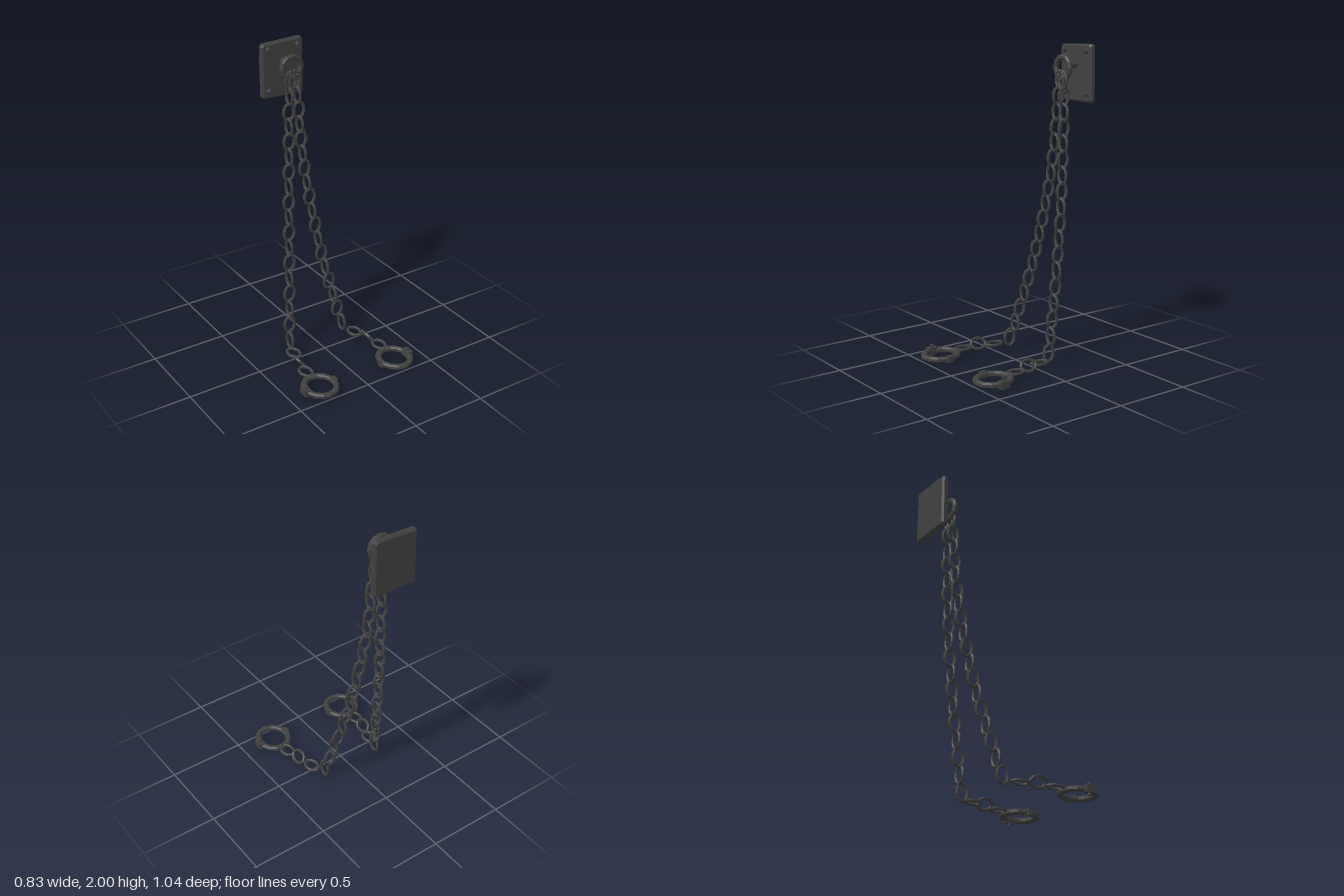
import * as THREE from 'three';

const iron = new THREE.MeshStandardMaterial({ color: 0x404040, flatShading: true });
iron.name = 'darkIron';

function part(name, geometry, parent, x = 0, y = 0, z = 0) {
  const mesh = new THREE.Mesh(geometry, iron);
  mesh.name = name;
  mesh.position.set(x, y, z);
  parent.add(mesh);
  return mesh;
}

// Oval wire link lying in the XY plane, long axis along y
function linkGeometry() {
  const points = [];
  for (let i = 0; i < 10; i++) {
    const a = (i / 10) * Math.PI * 2;
    points.push(new THREE.Vector3(Math.sin(a) * 0.0385, Math.cos(a) * 0.057, 0));
  }
  return new THREE.TubeGeometry(new THREE.CatmullRomCurve3(points, true), 10, 0.0102, 6, true);
}

// Flat band with chamfered edges, turned about y
function bandGeometry(inner, outer, height, chamfer, sides) {
  const h = height / 2, c = chamfer;
  const profile = [
    [inner, -h + c], [inner + c, -h], [outer - c, -h], [outer, -h + c],
    [outer, h - c], [outer - c, h], [inner + c, h], [inner, h - c], [inner, -h + c],
  ].map(([r, y]) => new THREE.Vector2(r, y));
  return new THREE.LatheGeometry(profile, sides);
}

function wallMount() {
  const mount = new THREE.Group();
  mount.name = 'wallMount';
  // Slightly crooked back plate with clipped corners
  const outline = [
    [-0.132, 1.644], [0.13, 1.641], [0.138, 1.649], [0.136, 1.98],
    [0.128, 1.988], [-0.132, 1.979], [-0.139, 1.971], [-0.139, 1.652],
  ].map(([x, y]) => new THREE.Vector2(x, y));
  const plate = new THREE.ExtrudeGeometry(new THREE.Shape(outline), {
    depth: 0.021, bevelEnabled: true, bevelThickness: 0.012, bevelSize: 0.012, bevelSegments: 1,
  });
  part('backPlate', plate, mount, 0, 0, -0.508);

  // Corner bolts
  for (const x of [-0.105, 0.105]) {
    for (const y of [1.685, 1.955]) {
      const bolt = part('plateBolt', new THREE.CylinderGeometry(0.012, 0.019, 0.022, 8), mount, x, y, -0.466);
      bolt.rotation.x = Math.PI / 2;
    }
  }
  // Post and hanging ring
  const post = part('post', new THREE.CylinderGeometry(0.022, 0.022, 0.085, 10), mount, 0, 1.865, -0.4375);
  post.rotation.x = Math.PI / 2;
  const ring = part('hangingRing', bandGeometry(0.051, 0.086, 0.032, 0.009, 12), mount, 0, 1.851, -0.372);
  ring.rotation.x = Math.PI / 2;
  return mount;
}

function chain(side, geometry) {
  const group = new THREE.Group();
  group.name = side > 0 ? 'leftChain' : 'rightChain';
  // Hanging run: [x, y, z], alternating front-facing and side-facing links
  const hanging = [
    [0.014, 1.775, -0.361], [0.028, 1.673, -0.358], [0.036, 1.57, -0.354], [0.04, 1.473, -0.35],
    [0.044, 1.375, -0.344], [0.051, 1.275, -0.336], [0.058, 1.175, -0.327], [0.068, 1.075, -0.315],
    [0.079, 0.976, -0.301], [0.089, 0.876, -0.286], [0.1, 0.777, -0.268], [0.112, 0.678, -0.251],
    [0.124, 0.579, -0.231], [0.139, 0.48, -0.21], [0.154, 0.38, -0.186], [0.17, 0.28, -0.16],
    [0.187, 0.18, -0.136], [0.205, 0.08, -0.105],
  ];
  hanging.forEach(([x, y, z], i) => {
    const link = part('hangingLink', geometry, group, side * x, y, z);
    if (i % 2) link.rotation.y = Math.PI / 2;
  });
  // Links on the floor, the middle one rolled over
  const lying = [[0.239, 0.046, -0.004, 0], [0.269, 0.06, 0.106, -0.9], [0.286, 0.046, 0.216, 0]];
  for (const [x, y, z, roll] of lying) {
    const link = part('floorLink', geometry, group, side * x, y, z);
    link.rotation.set(Math.PI / 2, 0, roll, 'ZXY');
  }
  return group;
}

function cuff(side) {
  const group = new THREE.Group();
  group.name = side > 0 ? 'leftCuff' : 'rightCuff';
  group.position.set(side * 0.287, 0, 0.386);
  const band = part('cuffBand', bandGeometry(0.083, 0.119, 0.034, 0.009, 14), group, 0, 0.036, 0);
  band.scale.z = 1.1;

  // Outer clasp with its bolt
  part('clasp', new THREE.BoxGeometry(0.044, 0.044, 0.066), group, side * 0.105, 0.036, 0);
  part('claspBolt', new THREE.CylinderGeometry(0.012, 0.012, 0.075, 8), group, side * 0.103, 0.0375, 0);

  // Inner hinge: tapered block
  const taper = new THREE.Shape([
    [0.093, -0.026], [0.113, -0.026], [0.121, -0.015], [0.121, 0.015], [0.113, 0.026], [0.093, 0.026],
  ].map(([x, z]) => new THREE.Vector2(-side * x, z)));
  const hinge = new THREE.ExtrudeGeometry(taper, { depth: 0.042, bevelEnabled: false });
  hinge.rotateX(-Math.PI / 2);
  part('hinge', hinge, group, 0, 0.015, 0);
  return group;
}

export function createModel() {
  const model = new THREE.Group();
  model.name = 'wallShackles';
  model.add(wallMount());
  const link = linkGeometry();
  for (const side of [-1, 1]) model.add(chain(side, link), cuff(side));
  return model;
}
